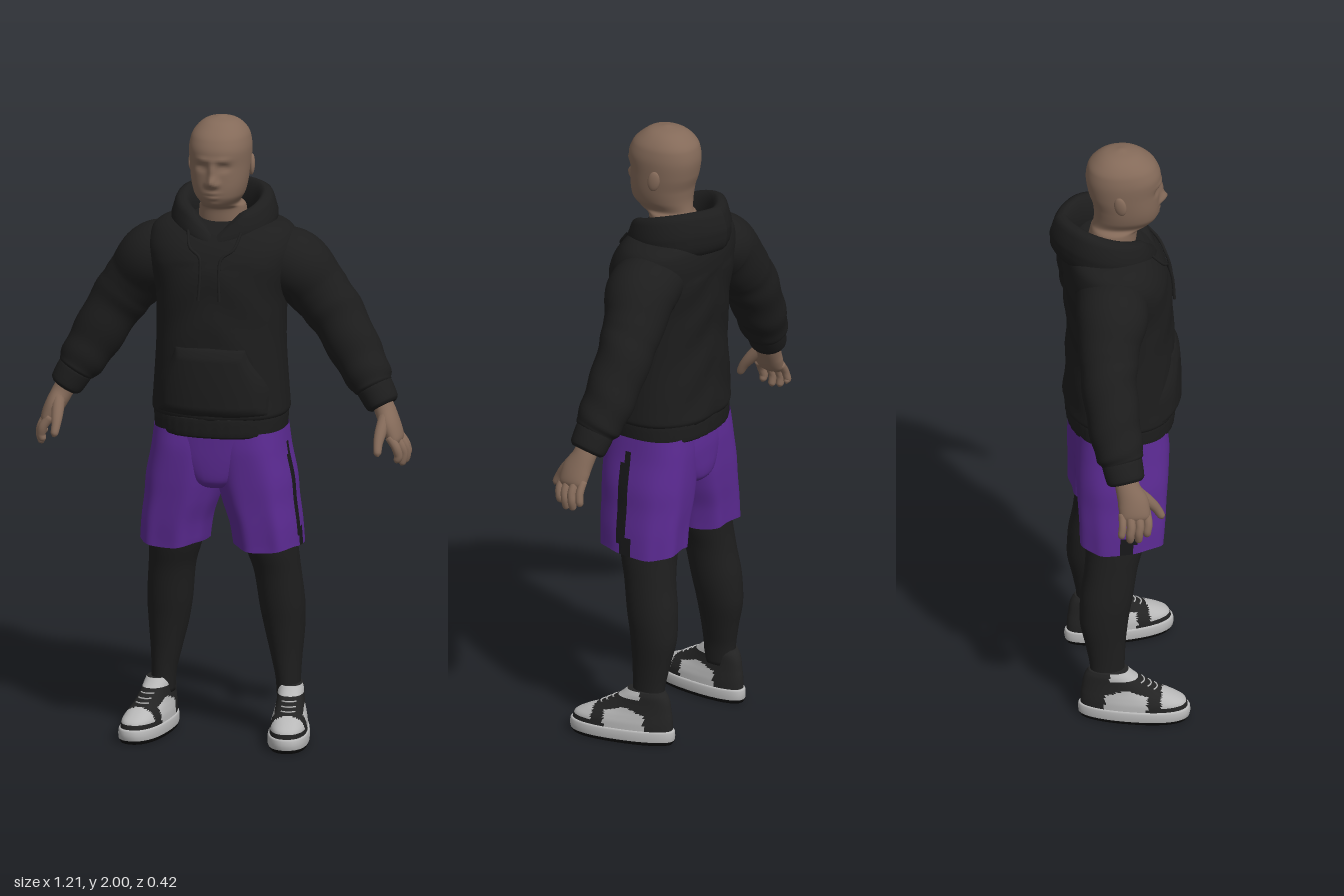
import * as THREE from 'three';

const mat = (name, color, side = THREE.FrontSide) => {
  const m = new THREE.MeshStandardMaterial({ color, side });
  m.name = name;
  return m;
};

// Smooth, overshoot-free interpolation of numeric rows, n steps per span
function smooth(rows, n) {
  const slope = (i, k) => {
    if (i === 0 || i === rows.length - 1) {
      const a = Math.max(i - 1, 0);
      return rows[a + 1][k] - rows[a][k];
    }
    const d0 = rows[i][k] - rows[i - 1][k], d1 = rows[i + 1][k] - rows[i][k];
    return d0 * d1 <= 0 ? 0 : (2 * d0 * d1) / (d0 + d1);
  };
  const out = [];
  for (let i = 0; i < rows.length - 1; i++)
    for (let s = 0; s < n; s++) {
      const t = s / n, t2 = t * t, t3 = t2 * t;
      out.push(rows[i].map((a, k) => (2 * t3 - 3 * t2 + 1) * a + (t3 - 2 * t2 + t) * slope(i, k)
        + (3 * t2 - 2 * t3) * rows[i + 1][k] + (t3 - t2) * slope(i + 1, k)));
    }
  out.push(rows[rows.length - 1]);
  return out;
}

// Skin over closed rings of Vector3; pick(centre, column) chooses a material index
function loft(rings, { cap = true, pick = () => 0 } = {}) {
  const n = rings[0].length, pos = [], lists = [];
  const add = (g, ...ids) => (lists[g] ??= []).push(...ids);
  rings.flat().forEach(p => pos.push(p.x, p.y, p.z));
  for (let i = 0; i < rings.length - 1; i++)
    for (let j = 0; j < n; j++) {
      const k = (j + 1) % n, a = i * n + j, b = i * n + k, c = a + n, d = b + n;
      const mid = rings[i][j].clone().add(rings[i + 1][k]).multiplyScalar(0.5);
      add(pick(mid, j), a, c, b, b, c, d);
    }
  if (cap) [0, rings.length - 1].forEach((r, top) => {
    const mid = new THREE.Vector3();
    rings[r].forEach(p => mid.addScaledVector(p, 1 / n));
    const id = pos.length / 3;
    pos.push(mid.x, mid.y, mid.z);
    for (let j = 0; j < n; j++) {
      const a = r * n + j, b = r * n + (j + 1) % n;
      top ? add(pick(mid, j), id, b, a) : add(pick(mid, j), id, a, b);
    }
  });
  const geo = new THREE.BufferGeometry(), index = [];
  lists.forEach((l, g) => { geo.addGroup(index.length, l.length, g); l.forEach(v => index.push(v)); });
  geo.setAttribute('position', new THREE.Float32BufferAttribute(pos, 3));
  geo.setIndex(index);
  geo.computeVertexNormals();
  return geo;
}

const spow = (v, e) => Math.sign(v) * Math.abs(v) ** (2 / e);

// Upright form from rows [y, centre x, half width, front z, back z]
function upright(rows, { n = 5, seg = 48, e = 2.3, tweak, ...opts } = {}) {
  return loft(smooth(rows, n).map(([y, cx, rx, zf, zb]) => Array.from({ length: seg }, (_, j) => {
    const t = (j / seg) * Math.PI * 2;
    const p = new THREE.Vector3(cx + rx * spow(Math.cos(t), e), y, (zf + zb) / 2 + (zf - zb) / 2 * spow(Math.sin(t), e));
    if (tweak) tweak(p, t);
    return p;
  })), opts);
}

// Limb along a path from rows [x, y, z, radius across, radius along z]
function limb(rows, n = 5, seg = 28, tweak = () => 1) {
  const path = smooth(rows, n), at = i => new THREE.Vector3(...path[Math.min(Math.max(i, 0), path.length - 1)].slice(0, 3));
  return loft(path.map((r, i) => {
    const T = at(i + 1).sub(at(i - 1)).normalize();
    const V = new THREE.Vector3(0, 0, 1).addScaledVector(T, -T.z).normalize();
    const U = T.clone().cross(V);
    return Array.from({ length: seg }, (_, j) => {
      const t = (j / seg) * Math.PI * 2, k = tweak(i / (path.length - 1), t);
      return at(i).addScaledVector(U, r[3] * k * Math.cos(t)).addScaledVector(V, r[4] * k * Math.sin(t));
    });
  }));
}

function mirrored(geo) {
  const g = geo.clone().scale(-1, 1, 1), ix = g.index;
  for (let i = 0; i < ix.count; i += 3) {
    const b = ix.getX(i + 1);
    ix.setX(i + 1, ix.getX(i + 2));
    ix.setX(i + 2, b);
  }
  return g;
}

export function createModel() {
  const root = new THREE.Group();
  root.name = 'figure';
  const skin = mat('skin', 0x846a59), cloth = mat('black cloth', 0x1d1d1d), legging = mat('legging black', 0x1e1e1e),
    purple = mat('purple', 0x5b2a92, THREE.DoubleSide), slit = mat('slit black', 0x18181a, THREE.DoubleSide),
    white = mat('shoe white', 0xb8b8b8), black = mat('shoe black', 0x232323), outsole = mat('outsole black', 0x0e0e0e);
  const add = (name, geo, m) => {
    const mesh = new THREE.Mesh(geo, m);
    mesh.name = name;
    root.add(mesh);
  };
  const pair = (name, geo, m) => { add(name + 'Left', geo, m); add(name + 'Right', mirrored(geo), m); };

  // Head and neck; each bump is [x, y, width, height, depth] on the face
  const bumps = [[0, 1.812, .014, .018, .025], [0, 1.848, .012, .026, .013], [.016, 1.804, .009, .009, .008],
    [.036, 1.857, .017, .011, -.010], [.034, 1.855, .011, .005, .004], [.03, 1.882, .026, .009, .006],
    [0, 1.775, .022, .006, .006], [0, 1.760, .020, .006, .006], [0, 1.735, .024, .012, .006]];
  add('head', upright([[1.58, 0, .085, .04, -.10], [1.66, 0, .077, .062, -.088], [1.71, 0, .072, .070, -.078],
    [1.727, 0, .060, .108, -.072], [1.76, 0, .078, .132, -.068], [1.80, 0, .088, .136, -.072], [1.85, 0, .094, .136, -.087],
    [1.90, 0, .097, .141, -.094], [1.94, 0, .091, .128, -.088], [1.97, 0, .073, .100, -.066],
    [1.99, 0, .045, .068, -.034], [2.0, 0, .006, .024, .010]], {
    n: 8, seg: 96, e: 2.15, tweak: p => {
      if (p.z < .04) return;
      const { x, y } = p;
      for (const [bx, by, sx, sy, d] of bumps)
        for (const s of bx ? [1, -1] : [1])
          p.z += d * Math.exp(-(((x - s * bx) / sx) ** 2 + ((y - by) / sy) ** 2));
    },
  }), skin);
  pair('ear', new THREE.SphereGeometry(1, 16, 12).scale(.010, .034, .020).rotateY(.35).rotateX(-.15).translate(.095, 1.845, .004), skin);

  // Hoodie body and ribbed hem
  const torso = [[1.05, 0, .206, .180, -.155], [1.07, 0, .216, .188, -.163], [1.13, 0, .212, .186, -.160],
    [1.30, 0, .203, .180, -.154], [1.42, 0, .205, .176, -.160], [1.52, 0, .225, .168, -.166], [1.58, 0, .236, .150, -.166],
    [1.63, 0, .225, .118, -.160], [1.66, 0, .185, .085, -.145], [1.675, 0, .10, .04, -.10]];
  add('hoodieBody', upright(torso, {
    n: 6, seg: 64, tweak: (p, t) => {
      p.z += .003 * Math.sin(p.y * 38 + Math.abs(p.x) * 30) * Math.sin(t) ** 2 * (p.y < 1.55 ? 1 : 0);
    },
  }), cloth);
  add('hoodieHem', upright([[.995, 0, .200, .172, -.148], [1.003, 0, .207, .181, -.156], [1.055, 0, .210, .185, -.158], [1.064, 0, .203, .178, -.15]],
    { n: 3, seg: 120, tweak: (p, t) => { p.z += .001 * Math.sin(40 * t); } }), cloth);
  const torsoRows = smooth(torso, 8);
  const chestZ = (x, y) => {
    const i = Math.max(1, torsoRows.findIndex(r => r[0] >= y)), a = torsoRows[i - 1], b = torsoRows[i];
    const [, , rx, zf, zb] = a.map((v, k) => THREE.MathUtils.lerp(v, b[k], (y - a[0]) / (b[0] - a[0])));
    return (zf + zb) / 2 + (zf - zb) / 2 * Math.max(0, 1 - Math.abs(x / rx) ** 2.3) ** (1 / 2.3);
  };

  // Front pouch pocket laid over the belly
  const pocket = new THREE.PlaneGeometry(2, 1, 40, 30), pp = pocket.attributes.position;
  for (let i = 0; i < pp.count; i++) {
    const u = pp.getX(i), v = pp.getY(i) + .5, y = 1.065 + .225 * v;
    const x = u * (.182 - .065 * THREE.MathUtils.smoothstep(v, .3, 1));
    const edge = Math.min(1, (1 - Math.abs(u)) * 5, (1 - v) * 6, v * 8);
    pp.setXYZ(i, x, y, chestZ(x, y) - .007 + .022 * Math.sqrt(edge) + .004 * Math.sin(v * Math.PI));
  }
  pocket.computeVertexNormals();
  add('pocket', pocket, cloth);

  // Lowered hood: a folded roll with a V at the front and a point at the back
  const hood = [];
  for (let i = 0; i <= 80; i++) {
    const t = -Math.PI / 2 + (i / 80) * Math.PI * 2, f = (Math.sin(t) + 1) / 2;
    const peak = Math.max(0, 1 - Math.abs(Math.cos(t)) / .6);
    const top = 1.765 - .075 * f ** 1.8 - (f > .5 ? .055 * peak : 0), low = 1.625 - .04 * f, h = top - low;
    const back = f < .5 ? .02 * peak : 0;
    const profile = smooth([[1.0, .55], [.99, .25], [.88, 0], [.62, .1], [.58, .5], [.64, .85], [.75, 1], [.89, .94], [1.0, .55]], 3).slice(0, -1);
    hood.push(profile.map(([r, k]) => new THREE.Vector3(r * .168 * Math.cos(t), low + h * k, -.03 + r * (.158 * Math.sin(t) - back))));
  }
  add('hood', loft(hood, { cap: false }), cloth);

  // Drawstrings
  const cord = new THREE.CatmullRomCurve3([[.085, 1.645], [.070, 1.60], [.035, 1.572], [.030, 1.52], [.034, 1.44]]
    .map(([x, y]) => new THREE.Vector3(x, y, chestZ(x, y) + .007)));
  pair('drawstring', new THREE.TubeGeometry(cord, 24, .005, 8), cloth);

  // Sleeves with soft folds, then cuffs
  pair('sleeve', limb([[.11, 1.56, -.03, .085, .105], [.22, 1.523, -.035, .110, .114], [.285, 1.45, -.052, .099, .098],
    [.35, 1.365, -.059, .089, .088], [.425, 1.235, -.049, .080, .082], [.472, 1.155, -.036, .068, .073], [.484, 1.135, -.032, .050, .058]],
  8, 36, (v, t) => 1 + (v > .4 ? .025 : 0) * Math.sin(v * 42 + 2 * Math.sin(t))), cloth);
  pair('cuff', limb([[.472, 1.155, -.034, .050, .058], [.482, 1.14, -.032, .058, .064], [.508, 1.095, -.024, .053, .060], [.514, 1.085, -.022, .042, .05]], 4), cloth);

  // Hands: palm, four fingers and thumb
  pair('palm', limb([[.50, 1.11, -.026, .031, .036], [.520, 1.07, -.018, .033, .039], [.542, 1.025, -.003, .031, .049],
    [.558, .99, 0, .025, .048], [.564, .972, 0, .012, .036]]), skin);
  for (let i = 0; i < 4; i++) {
    const z = .036 - .025 * i, out = .036 - .027 * i, tip = [.918, .905, .908, .926][i], r = i === 3 ? .0125 : .0145;
    const x = [-.008, .002, .006, .004][i];
    pair('finger' + (i + 1), limb([[.553 + x, 1.0, z, r, r], [.577 + x, .965, out + .004, r, r], [.583 + x, .94, out, r * .95, r * .95],
      [.578 + x, tip + .008, out, r * .8, r * .8], [.575 + x, tip, out, r * .25, r * .25]], 4, 12), skin);
  }
  pair('thumb', limb([[.525, 1.055, .01, .021, .022], [.520, 1.015, .048, .019, .019], [.518, .985, .072, .015, .015],
    [.520, .958, .087, .012, .012], [.522, .948, .091, .003, .003]], 4, 14), skin);

  // Shorts: seat, then loose legs with a dark side slit
  add('shortsSeat', upright([[.810, 0, .02, .05, -.04], [.825, 0, .06, .125, -.11], [.85, 0, .10, .150, -.134], [.89, 0, .14, .155, -.138],
    [.94, 0, .18, .157, -.138], [1.02, 0, .200, .158, -.130]], { e: 2.5 }), purple);
  pair('shortsLeg', upright([[.630, .151, .105, .135, -.130], [.70, .143, .108, .142, -.132], [.78, .125, .116, .148, -.136],
    [.85, .114, .121, .153, -.138], [.94, .102, .115, .156, -.136], [1.01, .096, .112, .150, -.130]], {
    n: 6, seg: 72, e: 2.5, cap: false,
    tweak: (p, t) => {
      const k = THREE.MathUtils.clamp((.95 - p.y) / .3, 0, 1);
      p.z += .005 * k * Math.sin(7 * t + 1);
      p.y += p.y < .64 ? .006 * Math.sin(3 * t) : 0;
    },
    pick: (p, j) => (p.y < .97 && j === 0) || (p.y > .66 && p.y < .92 && j === 1) || (p.y < .69 && j === 71) ? 1 : 0,
  }), [purple, slit]);

  // Leggings
  pair('legging', upright([[.12, .202, .036, .005, -.100], [.18, .200, .038, .006, -.103], [.25, .194, .047, .009, -.115],
    [.35, .186, .063, .020, -.134], [.43, .180, .071, .034, -.131], [.53, .170, .073, .050, -.116], [.63, .151, .083, .076, -.110],
    [.85, .115, .09, .10, -.11]], { e: 2.1 }), legging);

  // Shoes: sole, panelled upper and laces, turned slightly outward
  const place = g => g.rotateY(.17).translate(.218, 0, 0);
  const taper = p => { p.x *= 1 + .9 * (p.z - .035); };
  pair('sole', place(upright([[0, 0, .058, .200, -.134], [.012, 0, .063, .207, -.140], [.028, 0, .064, .210, -.142],
    [.044, 0, .062, .207, -.140], [.047, 0, .055, .198, -.132]], { n: 3, tweak: taper, pick: p => p.y < .014 ? 1 : 0 })), [white, outsole]);
  const upper = [[.040, 0, .058, .203, -.134], [.064, 0, .057, .195, -.134], [.085, 0, .053, .162, -.133], [.106, 0, .048, .112, -.130],
    [.135, 0, .044, .062, -.126], [.155, 0, .043, .034, -.119], [.172, 0, .038, .016, -.108]];
  pair('shoeUpper', place(upright(upper, {
    n: 6, seg: 96, tweak: taper, pick: ({ x, y, z }) => {
      const toeBox = z > .122 && y > .062;
      const sidePanel = Math.abs(x) > .025 && z > -.055 && z < .078 && y < .117 - Math.abs(z - .012) * .3;
      const tongue = y > .145 && z > -.04;
      return toeBox || sidePanel || tongue ? 1 : 0;
    },
  })), [black, white]);
  for (const [i, [y, z]] of [[.111, .106], [.122, .087], [.134, .066]].entries()) {
    const lace = new THREE.CatmullRomCurve3([-.022, -.011, 0, .011, .022].map(x => new THREE.Vector3(x, y, z - x * x * 22)));
    pair('lace' + (i + 1), place(new THREE.TubeGeometry(lace, 12, .0025, 6)), white);
  }
  return root;
}
